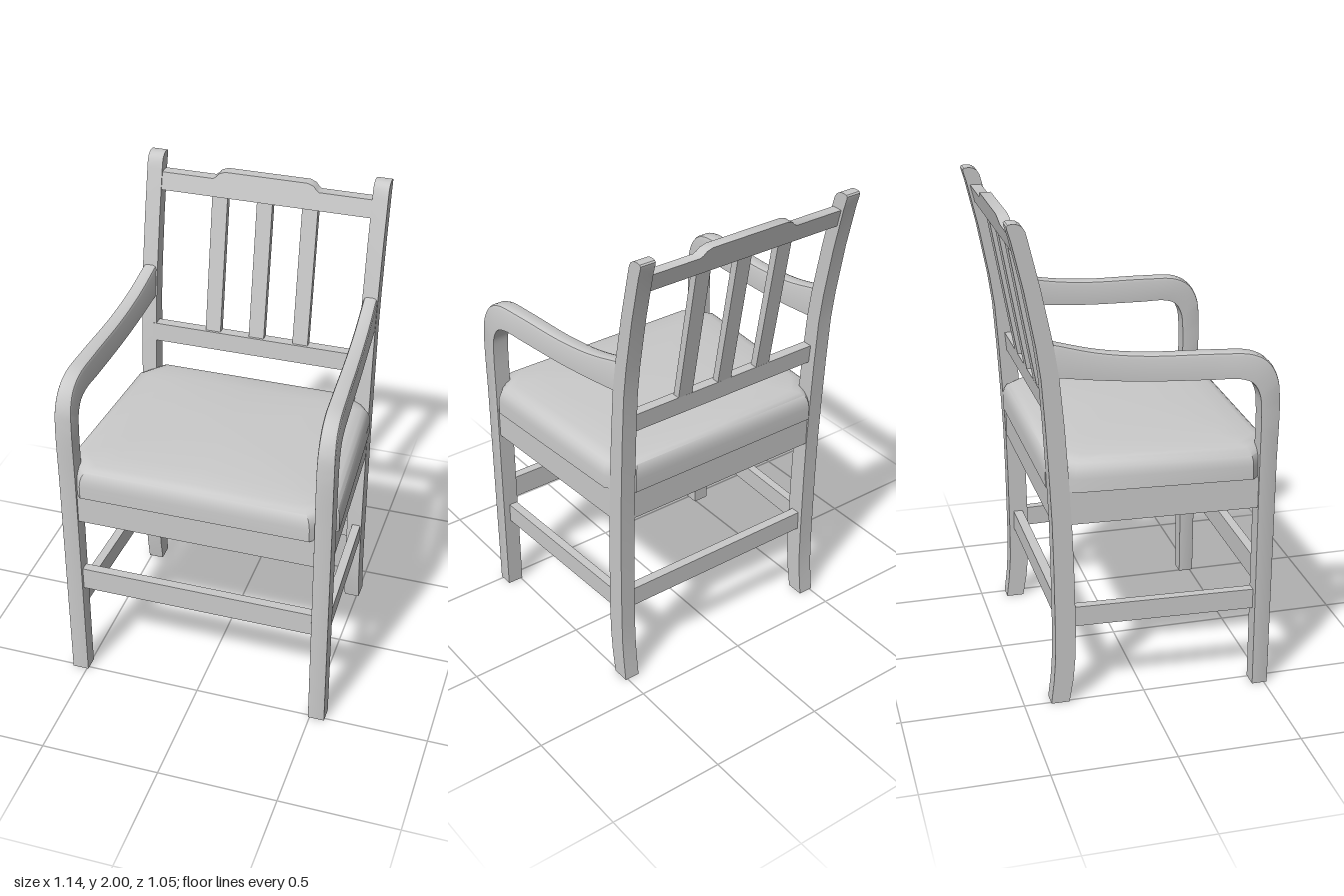
import * as THREE from 'three';
import { toCreasedNormals } from 'three/addons/utils/BufferGeometryUtils.js';

const V = (x, y, z) => new THREE.Vector3(x, y, z);

// Skin a list of equal-length closed rings, cap both ends, face outward.
function loft(rings, crease = 0.6) {
  const n = rings[0].length, pos = [], idx = [];
  const add = (p) => pos.push(p.x, p.y, p.z);
  rings.forEach((r) => r.forEach(add));
  for (let i = 0; i < rings.length - 1; i++) {
    for (let j = 0; j < n; j++) {
      const a = i * n + j, b = i * n + (j + 1) % n, c = a + n, d = b + n;
      idx.push(a, b, c, b, d, c);
    }
  }
  [0, rings.length - 1].forEach((i) => {
    const c = V(0, 0, 0);
    rings[i].forEach((p) => c.addScaledVector(p, 1 / n));
    add(c);
    const k = pos.length / 3 - 1;
    for (let j = 0; j < n; j++) {
      const a = i * n + j, b = i * n + (j + 1) % n;
      if (i === 0) idx.push(k, b, a); else idx.push(k, a, b);
    }
  });
  // signed volume tells whether the winding must be reversed
  const at = (i) => V(pos[3 * i], pos[3 * i + 1], pos[3 * i + 2]);
  let vol = 0;
  for (let i = 0; i < idx.length; i += 3) vol += at(idx[i]).dot(at(idx[i + 1]).cross(at(idx[i + 2])));
  if (vol < 0) idx.reverse();
  const g = new THREE.BufferGeometry();
  g.setAttribute('position', new THREE.Float32BufferAttribute(pos, 3));
  g.setIndex(idx);
  return toCreasedNormals(g, crease);
}

// Rectangle ring in the xy plane at depth z
const rectXY = (x0, x1, y0, y1, z) => [V(x0, y0, z), V(x1, y0, z), V(x1, y1, z), V(x0, y1, z)];

// The sides splay outward toward the front
const outerX = (z) => 0.508 + (z + 0.36) * 0.063;
const innerX = (z) => 0.45 + (z + 0.36) * 0.05;

export function createModel() {
  const group = new THREE.Group();
  const grey = new THREE.MeshStandardMaterial({ color: 0xcacaca });
  grey.name = 'plainGrey';

  const add = (name, geometry) => {
    const m = new THREE.Mesh(geometry, grey);
    m.name = name;
    group.add(m);
  };
  const box = (name, x0, x1, y0, y1, z0, z1) =>
    add(name, new THREE.BoxGeometry(x1 - x0, y1 - y0, z1 - z0)
      .translate((x0 + x1) / 2, (y0 + y1) / 2, (z0 + z1) / 2));

  // Arm stations: outer z, outer y, inner z, inner y
  const armStations = [
    [0.517, 1.0, 0.447, 1.0], [0.52, 1.25, 0.446, 1.22], [0.51, 1.345, 0.437, 1.285],
    [0.475, 1.41, 0.41, 1.33], [0.41, 1.447, 0.36, 1.35], [0.27, 1.459, 0.25, 1.354],
    [0.0, 1.468, 0.0, 1.364], [-0.19, 1.492, -0.18, 1.38], [-0.37, 1.538, -0.37, 1.404],
  ];
  const outerCurve = new THREE.CatmullRomCurve3(armStations.map((s) => V(0, s[1], s[0])));
  const innerCurve = new THREE.CatmullRomCurve3(armStations.map((s) => V(0, s[3], s[2])));

  // Ring across the arm, with its outer edges rounded by c
  const armRing = (side, o, i, c) => {
    const a = innerX(o.z), b = outerX(o.z);
    const dir = i.clone().sub(o).normalize();
    const p = (x, d) => { const q = o.clone().addScaledVector(dir, d); q.x = side * x; return q; };
    const q = (x) => V(side * x, i.y, i.z);
    return [q(a), q(b), p(b, c), p(b - 0.3 * c, 0.3 * c), p(b - c, 0),
      p(a + c, 0), p(a + 0.3 * c, 0.3 * c), p(a, c)];
  };

  // Back post stations: y front, z front, y back, z back
  const postStations = [
    [0, -0.315, 0, -0.39], [0.1, -0.298, 0.1, -0.378], [0.2, -0.289, 0.2, -0.371],
    [0.34, -0.286, 0.34, -0.37], [0.6, -0.291, 0.6, -0.372], [0.8, -0.298, 0.8, -0.376],
    [1.0, -0.309, 1.0, -0.385], [1.2, -0.322, 1.2, -0.396], [1.4, -0.34, 1.4, -0.41],
    [1.53, -0.36, 1.53, -0.428], [1.75, -0.405, 1.75, -0.469], [1.94, -0.45, 1.94, -0.513],
    [1.97, -0.458, 1.98, -0.525], [1.988, -0.469, 1.992, -0.527], [1.997, -0.483, 1.998, -0.522],
    [2.0, -0.497, 2.0, -0.513],
  ];

  for (const side of [1, -1]) {
    const tag = side > 0 ? 'left' : 'right';

    // Front leg flowing into the arm
    const rings = [armRing(side, V(0, 0, 0.513), V(0, 0, 0.449), 0.001)];
    for (let k = 0; k <= 40; k++) {
      const t = k / 40;
      const c = 0.001 + 0.014 * THREE.MathUtils.smoothstep(t, 0.08, 0.4);
      rings.push(armRing(side, outerCurve.getPoint(t), innerCurve.getPoint(t), c));
    }
    add(tag + 'FrontLegAndArm', loft(rings));

    // Back leg and post
    add(tag + 'BackPost', loft(postStations.map(([yf, zf, yb, zb]) => [
      V(side * 0.445, yf, zf), V(side * 0.51, yf, zf),
      V(side * 0.51, yb, zb), V(side * 0.445, yb, zb)])));

    // Side seat rail and side stretcher
    const f = 0.46, b = -0.33;
    add(tag + 'SeatRail', loft([
      rectXY(side * (outerX(f) - 0.055), side * (outerX(f) - 0.003), 0.8, 0.932, f),
      rectXY(side * (outerX(b) - 0.055), side * (outerX(b) - 0.003), 0.79, 0.932, b)]));
    add(tag + 'SideStretcher', loft([
      rectXY(side * 0.498, side * 0.535, 0.34, 0.425, f),
      rectXY(side * 0.467, side * 0.503, 0.34, 0.425, b)]));
  }

  // Front and back rails and stretchers
  box('frontSeatRail', -0.5, 0.5, 0.8, 0.932, 0.46, 0.508);
  box('backSeatRail', -0.46, 0.46, 0.8, 0.932, -0.373, -0.325);
  box('frontStretcher', -0.5, 0.5, 0.445, 0.545, 0.462, 0.5);
  box('backStretcher', -0.47, 0.47, 0.34, 0.425, -0.35, -0.31);

  // Slats under the seat, set up inside the rails
  for (let i = -2; i <= 2; i++) {
    box('underSeatSlat', i * 0.182 - 0.085, i * 0.182 + 0.085, 0.89, 0.91, -0.33, 0.465);
  }

  // Cushion with its corners running into the posts, rounded over and gently domed
  const half = [[0, 0.523], [0.475, 0.523], [0.569, 0.42], [0.523, -0.285], [0.44, -0.386], [0, -0.386]];
  const outline = half.concat(half.slice(1, -1).reverse().map(([x, z]) => [-x, z]));
  const cushionSteps = [[1, 0.93], [1, 0.985], [0.996, 1.008], [0.985, 1.028], [0.965, 1.045],
    [0.935, 1.056], [0.88, 1.063], [0.7, 1.071], [0.45, 1.077], [0.2, 1.08]];
  const zc = 0.068;
  add('seatCushion', loft(cushionSteps.map(([s, y]) =>
    outline.map(([x, z]) => V(x * s, y, zc + (z - zc) * s))), 0.7));

  // Lower back rail
  add('lowerBackRail', loft([-0.46, 0.46].map((x) => [
    V(x, 1.195, -0.321), V(x, 1.275, -0.327), V(x, 1.275, -0.37), V(x, 1.195, -0.363)])));

  // Three back slats
  for (const x of [-0.192, 0, 0.192]) {
    add('backSlat', loft([[1.26, -0.335], [1.87, -0.444]].map(([y, z]) => [
      V(x - 0.033, y, z), V(x + 0.033, y, z), V(x + 0.033, y, z - 0.032), V(x - 0.033, y, z - 0.032)])));
  }

  // Crest rail with a raised middle
  const crest = [[-0.46, 1.928], [-0.225, 1.928], [-0.213, 1.936], [-0.2, 1.95], [-0.175, 1.959]];
  const crestTop = crest.concat(crest.slice().reverse().map(([x, y]) => [-x, y]));
  const lean = (y) => -0.435 - (y - 1.855) * 0.24;
  add('crestRail', loft(crestTop.map(([x, y]) => [
    V(x, 1.855, lean(1.855)), V(x, y, lean(y)),
    V(x, y, lean(y) - 0.046), V(x, 1.855, lean(1.855) - 0.046)])));

  return group;
}
